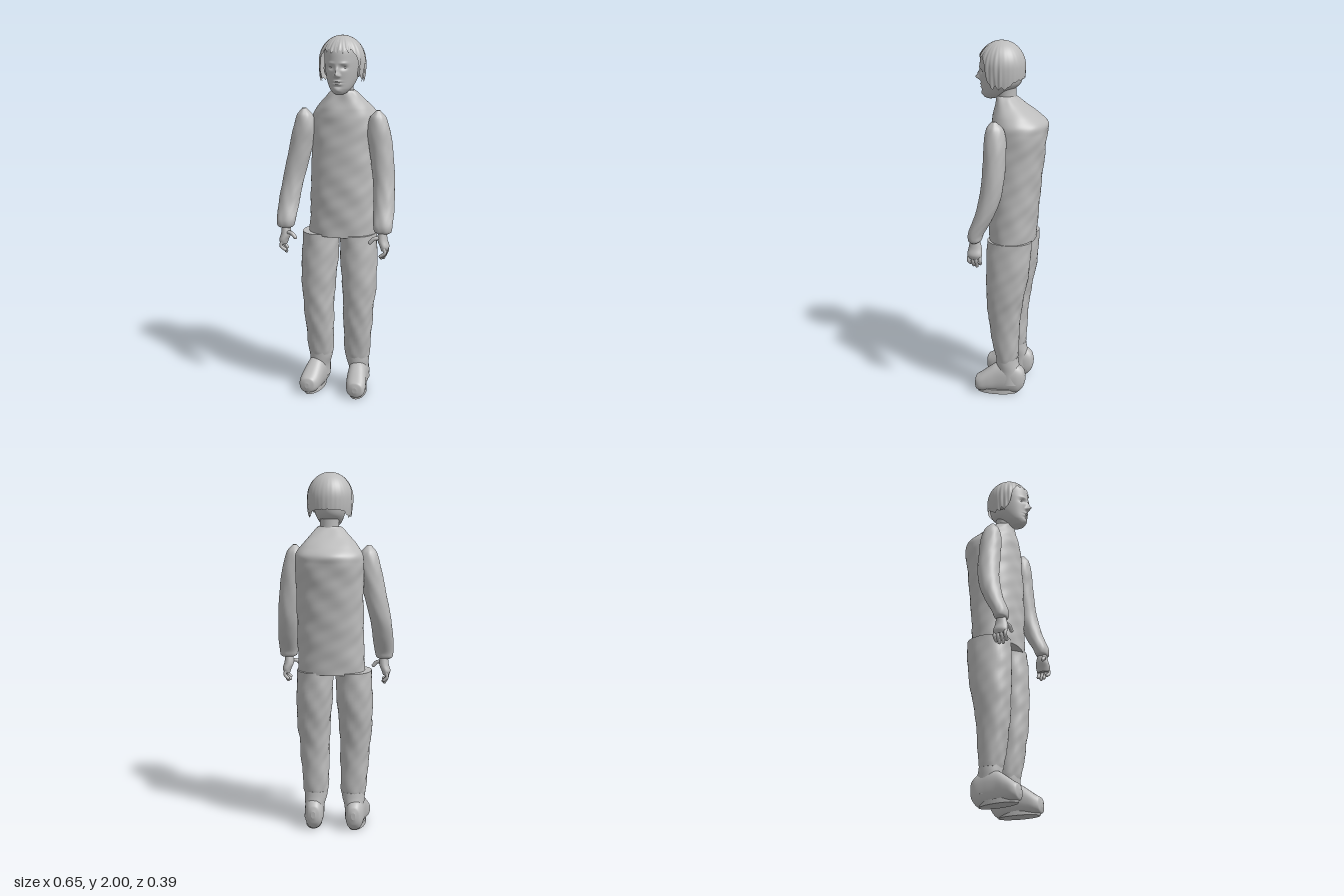
import * as THREE from 'three';

const grey = new THREE.MeshStandardMaterial({ color: 0xbcbcbc, side: THREE.DoubleSide });
grey.name = 'plain grey';

// Smooth skin through elliptical sections [x, y, z, radiusX, radiusZ], listed from low to high
function loft(sections, { seg = 40, rows = 50, power = 1, warp = null } = {}) {
  const mid = new THREE.CatmullRomCurve3(sections.map(s => new THREE.Vector3(s[0], s[1], s[2])), false, 'centripetal');
  const rad = new THREE.CatmullRomCurve3(sections.map(s => new THREE.Vector3(s[3], s[4], s[1])), false, 'centripetal');
  const pos = [], idx = [], p = new THREE.Vector3();
  const bend = v => Math.sign(v) * Math.pow(Math.abs(v), power);
  for (let j = 0; j <= rows; j++) {
    const c = mid.getPoint(j / rows), r = rad.getPoint(j / rows);
    for (let i = 0; i < seg; i++) {
      const a = i / seg * Math.PI * 2;
      p.set(c.x + r.x * bend(Math.cos(a)), c.y, c.z + r.y * bend(Math.sin(a)));
      if (warp) warp(p, a);
      pos.push(p.x, p.y, p.z);
    }
  }
  for (let j = 0; j < rows; j++) for (let i = 0; i < seg; i++) {
    const a = j * seg + i, b = j * seg + (i + 1) % seg;
    idx.push(a, a + seg, b, b, a + seg, b + seg);
  }
  // flat end caps with their own corners
  for (const [row, flip] of [[0, false], [rows, true]]) {
    const base = pos.length / 3;
    let sx = 0, sy = 0, sz = 0;
    for (let i = 0; i < seg; i++) {
      const k = (row * seg + i) * 3;
      pos.push(pos[k], pos[k + 1], pos[k + 2]);
      sx += pos[k]; sy += pos[k + 1]; sz += pos[k + 2];
    }
    pos.push(sx / seg, sy / seg, sz / seg);
    for (let i = 0; i < seg; i++) {
      const a = base + i, b = base + (i + 1) % seg;
      idx.push(base + seg, flip ? b : a, flip ? a : b);
    }
  }
  const g = new THREE.BufferGeometry();
  g.setAttribute('position', new THREE.Float32BufferAttribute(pos, 3));
  g.setIndex(idx);
  g.computeVertexNormals();
  return g;
}

// Soft cloth wrinkles
const cloth = size => (p, a) => {
  const w = size * (Math.sin(p.y * 37 + 3 * Math.sin(a * 2)) + Math.sin(a * 7 + p.y * 23) * Math.sin(p.y * 51));
  p.x += w * Math.cos(a);
  p.z += w * Math.sin(a);
};

function add(parent, name, geometry) {
  const m = new THREE.Mesh(geometry, grey);
  m.name = name;
  parent.add(m);
  return m;
}

function ball(parent, name, [x, y, z], [rx, ry, rz]) {
  const m = add(parent, name, new THREE.SphereGeometry(1, 20, 14));
  m.position.set(x, y, z);
  m.scale.set(rx, ry, rz);
  return m;
}

// Face relief: [x, y, halfWidth, halfHeight, depth]
const relief = [
  [0, 1.80, 0.011, 0.012, 0.026], [0, 1.822, 0.008, 0.018, 0.014],
  [-0.013, 1.794, 0.007, 0.007, 0.008], [0.013, 1.794, 0.007, 0.007, 0.008],
  [-0.035, 1.837, 0.017, 0.011, -0.012], [0.035, 1.837, 0.017, 0.011, -0.012],
  [-0.035, 1.86, 0.02, 0.007, 0.005], [0.035, 1.86, 0.02, 0.007, 0.005],
  [0, 1.766, 0.02, 0.005, 0.007], [0, 1.750, 0.018, 0.005, 0.007],
  [0, 1.758, 0.024, 0.0025, -0.004], [0, 1.738, 0.02, 0.006, -0.005],
  [0, 1.716, 0.02, 0.012, 0.007],
];

function buildHead() {
  const head = new THREE.Group();
  head.name = 'head';
  head.position.x = 0.025;
  add(head, 'neck', loft([[0, 1.6, 0.02, 0.062, 0.055], [0, 1.66, 0.022, 0.055, 0.05],
    [0, 1.72, 0.025, 0.052, 0.052], [0, 1.8, 0.03, 0.06, 0.06]], { rows: 16 }));
  add(head, 'face', loft([
    [0, 1.69, 0.112, 0.012, 0.012], [0, 1.698, 0.105, 0.032, 0.04], [0, 1.725, 0.085, 0.058, 0.073],
    [0, 1.77, 0.058, 0.079, 0.105], [0, 1.82, 0.051, 0.089, 0.117], [0, 1.88, 0.05, 0.094, 0.118],
    [0, 1.93, 0.05, 0.091, 0.11], [0, 1.97, 0.05, 0.066, 0.08], [0, 1.988, 0.05, 0.02, 0.03],
  ], { seg: 140, rows: 120, warp: p => {
    if (p.z < 0.07) return;
    for (const [x, y, w, h, d] of relief) p.z += d * Math.exp(-(((p.x - x) / w) ** 2) - ((p.y - y) / h) ** 2);
  } }));
  for (const s of [-1, 1]) {
    ball(head, 'eye', [s * 0.035, 1.837, 0.138], [0.014, 0.009, 0.011]);
    ball(head, 'ear', [s * 0.09, 1.815, 0.045], [0.014, 0.034, 0.022]).rotation.z = -s * 0.15;
  }

  // Hair shell with a ragged hem: high fringe, low sides, middling nape
  const hair = new THREE.PlaneGeometry(1, 1, 180, 30), q = hair.attributes.position;
  const saw = (v, n) => Math.abs(((v * n) % 1 + 1) % 1 - 0.5) * 2;
  for (let i = 0; i < q.count; i++) {
    const u = q.getX(i) + 0.5, v = 0.5 - q.getY(i);
    const a = u * Math.PI * 2 - Math.PI / 2; // the seam lies at the nape
    const f = Math.sin(a);
    const step = THREE.MathUtils.smoothstep;
    let hem = f > 0 ? 1.755 + 0.155 * step(f, 0.3, 0.72) : 1.755 + 0.045 * step(-f, 0.3, 0.9);
    hem += (f > -0.3 ? 0.03 : 0.008) * saw(u, 23) * (0.5 + 0.5 * saw(u, 7));
    const y = 2 - (2 - hem) * v * v * (2 - v);
    const k = (y - 1.865) / 0.135;
    let r = k > 0 ? Math.sqrt(Math.max(0, 1 - k * k)) : 1 - 0.14 * k * k;
    r *= 1 + 0.02 * v * (Math.sin(a * 31) + Math.sin(a * 17 + y * 30)) * (f > -0.2 ? 1 : 0.2);
    q.setXYZ(i, 0.124 * r * Math.cos(a), y, 0.05 + 0.127 * r * f);
  }
  hair.computeVertexNormals();
  add(head, 'hair', hair);
  return head;
}

function buildArm(s) {
  const arm = new THREE.Group();
  arm.name = s > 0 ? 'leftArm' : 'rightArm';
  const at = (x, y) => s > 0 ? x : -x + 0.03 * THREE.MathUtils.smoothstep(y, 1.1, 1.5);
  add(arm, 'sleeve', loft([
    [0.275, 0.958, 0.142, 0.03, 0.018], [0.274, 0.968, 0.14, 0.046, 0.034], [0.272, 1.0, 0.136, 0.053, 0.041],
    [0.267, 1.1, 0.092, 0.057, 0.051], [0.258, 1.22, 0.056, 0.059, 0.058], [0.237, 1.4, 0.04, 0.064, 0.06],
    [0.223, 1.5, 0.04, 0.061, 0.058], [0.219, 1.57, 0.042, 0.043, 0.044], [0.221, 1.607, 0.047, 0.01, 0.012],
  ].map(([x, y, ...r]) => [at(x, y), y, ...r]), { warp: cloth(0.0008) }));

  // Hand with four curled fingers and a thumb
  const hand = new THREE.Group();
  hand.name = 'hand';
  hand.position.set(s * 0.272, 0, 0.14);
  arm.add(hand);
  add(hand, 'palm', loft([[s * 0.012, 0.868, 0, 0.018, 0.034], [s * 0.012, 0.89, 0, 0.025, 0.041],
    [0, 0.925, 0, 0.027, 0.036], [0, 0.975, 0, 0.022, 0.024]], { seg: 24, rows: 14 }));
  const finger = (name, pts, r) => {
    const curve = new THREE.CatmullRomCurve3(pts.map(p => new THREE.Vector3(s * p[0], p[1], p[2])));
    add(hand, name, new THREE.TubeGeometry(curve, 10, r, 10));
    ball(hand, name + 'Tip', curve.getPoint(1).toArray(), [r, r, r]);
  };
  [0.03, 0.01, -0.01, -0.029].forEach((z, i) => {
    const end = [0.838, 0.826, 0.824, 0.838][i];
    finger('finger', [[0.014, 0.885, z], [0.02, 0.858, z * 1.05], [0.004 - 0.008 * (i < 2), end, z * 0.95]], 0.0095);
  });
  finger('thumb', [[-0.005, 0.935, 0.015], [-0.04, 0.933, 0.027], [-0.062, 0.912, 0.03]], 0.0105);
  return arm;
}

function buildLeg(s) {
  const leg = new THREE.Group();
  leg.name = s > 0 ? 'leftLeg' : 'rightLeg';
  const out = s > 0 ? 0 : 0.012; // the right leg stands slightly wider
  add(leg, 'trouser', loft([
    [0.101, 0.2, 0.008, 0.066, 0.058], [0.101, 0.225, 0.008, 0.07, 0.064], [0.106, 0.4, 0.018, 0.08, 0.084],
    [0.109, 0.5, 0.018, 0.085, 0.094], [0.112, 0.6, 0.012, 0.092, 0.106], [0.107, 0.75, 0.0, 0.1, 0.12],
    [0.1, 0.92, -0.008, 0.1, 0.122],
  ].map(([x, ...r]) => [s * (x + out), ...r]), { power: 0.93, warp: cloth(0.0017) }));
  add(leg, 'ankle', loft([[0.11, 0.06, -0.015, 0.055, 0.075], [0.107, 0.13, -0.005, 0.055, 0.07],
    [0.102, 0.18, 0.003, 0.064, 0.064], [0.1, 0.215, 0.006, 0.066, 0.062]]
    .map(([x, ...r]) => [s * (x + out), ...r]), { rows: 20 }));

  // Shoe sections run from heel to toe, then the skin is laid down along z
  const shoe = loft([
    [0.105, -0.1, 0.095, 0.012, 0.02], [0.105, -0.09, 0.092, 0.034, 0.052], [0.107, -0.06, 0.088, 0.049, 0.083],
    [0.109, 0, 0.095, 0.054, 0.095], [0.114, 0.06, 0.09, 0.054, 0.088], [0.121, 0.11, 0.074, 0.056, 0.07],
    [0.128, 0.155, 0.058, 0.053, 0.052], [0.13, 0.178, 0.055, 0.04, 0.04], [0.13, 0.186, 0.055, 0.012, 0.015],
  ].map(([x, z, h, rx, rh]) => [s * (x + out * 1.4), z, -h, rx, rh]), { power: 0.85 });
  shoe.rotateX(Math.PI / 2);
  add(leg, 'shoe', shoe);

  // Thin sole
  const outline = new THREE.Shape();
  outline.absellipse(0, 0, 0.046, 0.115, 0, Math.PI * 2);
  const sole = add(leg, 'sole', new THREE.ExtrudeGeometry(outline, { depth: 0.025, bevelEnabled: false, curveSegments: 24 }));
  sole.rotation.set(-Math.PI / 2, 0, s * 0.1);
  sole.position.set(s * (0.12 + out), 0, 0.057);
  return leg;
}

export function createModel() {
  const model = new THREE.Group();
  model.name = 'standingFigure';
  // Loose top with a high sloping back
  add(model, 'torso', loft([
    [0.01, 0.91, -0.008, 0.185, 0.126], [0.013, 1.05, -0.013, 0.184, 0.132], [0.015, 1.2, -0.02, 0.183, 0.139],
    [0.017, 1.4, -0.034, 0.184, 0.146], [0.018, 1.52, -0.045, 0.187, 0.149], [0.018, 1.565, -0.046, 0.181, 0.148],
    [0.02, 1.61, -0.026, 0.152, 0.122], [0.022, 1.66, 0.002, 0.11, 0.08], [0.024, 1.7, 0.022, 0.074, 0.052],
    [0.025, 1.71, 0.024, 0.058, 0.048],
  ], { seg: 72, rows: 90, power: 0.9, warp: cloth(0.0016) }));
  model.add(buildHead());
  for (const s of [-1, 1]) model.add(buildArm(s), buildLeg(s));
  return model;
}
